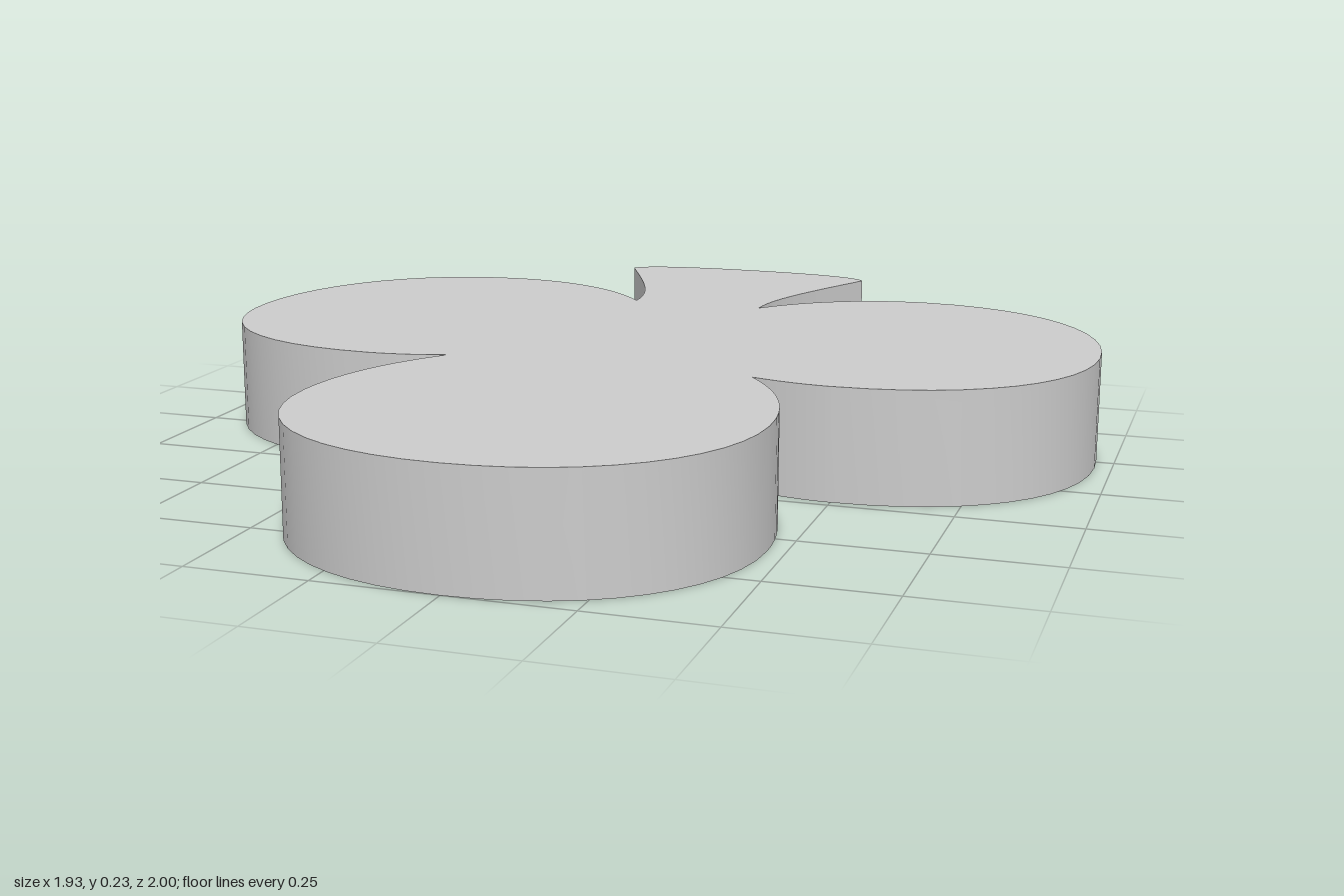
import * as THREE from 'three';
import { toCreasedNormals } from 'three/addons/utils/BufferGeometryUtils.js';

const HEIGHT = 0.235;

// Right half of the outline as [x, z] Bezier segments, from front lobe to stem end
const START = [0, 1];
const SEGMENTS = [
  // front lobe
  [0.27, 1, 0.465, 0.83, 0.465, 0.58],
  [0.465, 0.43, 0.41, 0.3, 0.33, 0.2],
  // side lobe
  [0.39, 0.22, 0.45, 0.23, 0.5, 0.23],
  [0.78, 0.23, 0.965, 0.06, 0.965, -0.2],
  [0.965, -0.48, 0.78, -0.7, 0.51, -0.7],
  [0.37, -0.7, 0.24, -0.63, 0.15, -0.51],
  // flared stem and its rounded end
  [0.15, -0.63, 0.22, -0.77, 0.3, -0.94],
  [0.28, -0.985, 0.15, -1, 0, -1],
];

function cloverShape() {
  const half = new THREE.Path();
  half.moveTo(START[0], -START[1]);
  for (const [ax, az, bx, bz, x, z] of SEGMENTS) {
    half.bezierCurveTo(ax, -az, bx, -bz, x, -z);
  }
  const right = half.getPoints(12);
  // mirror across x = 0, leaving out the two shared end points
  const left = right.slice(1, -1).reverse().map((p) => new THREE.Vector2(-p.x, p.y));
  return new THREE.Shape([...right, ...left]);
}

export function createModel() {
  const group = new THREE.Group();
  group.name = 'cloverPlate';

  // Flat slab lying on the ground, crisp rims and smooth curved walls
  let geometry = new THREE.ExtrudeGeometry(cloverShape(), { depth: HEIGHT, bevelEnabled: false });
  geometry.rotateX(-Math.PI / 2);
  geometry = toCreasedNormals(geometry, Math.PI / 6);

  const slab = new THREE.Mesh(geometry, new THREE.MeshStandardMaterial({ color: 0xcccccc }));
  slab.name = 'cloverSlab';
  group.add(slab);
  return group;
}
